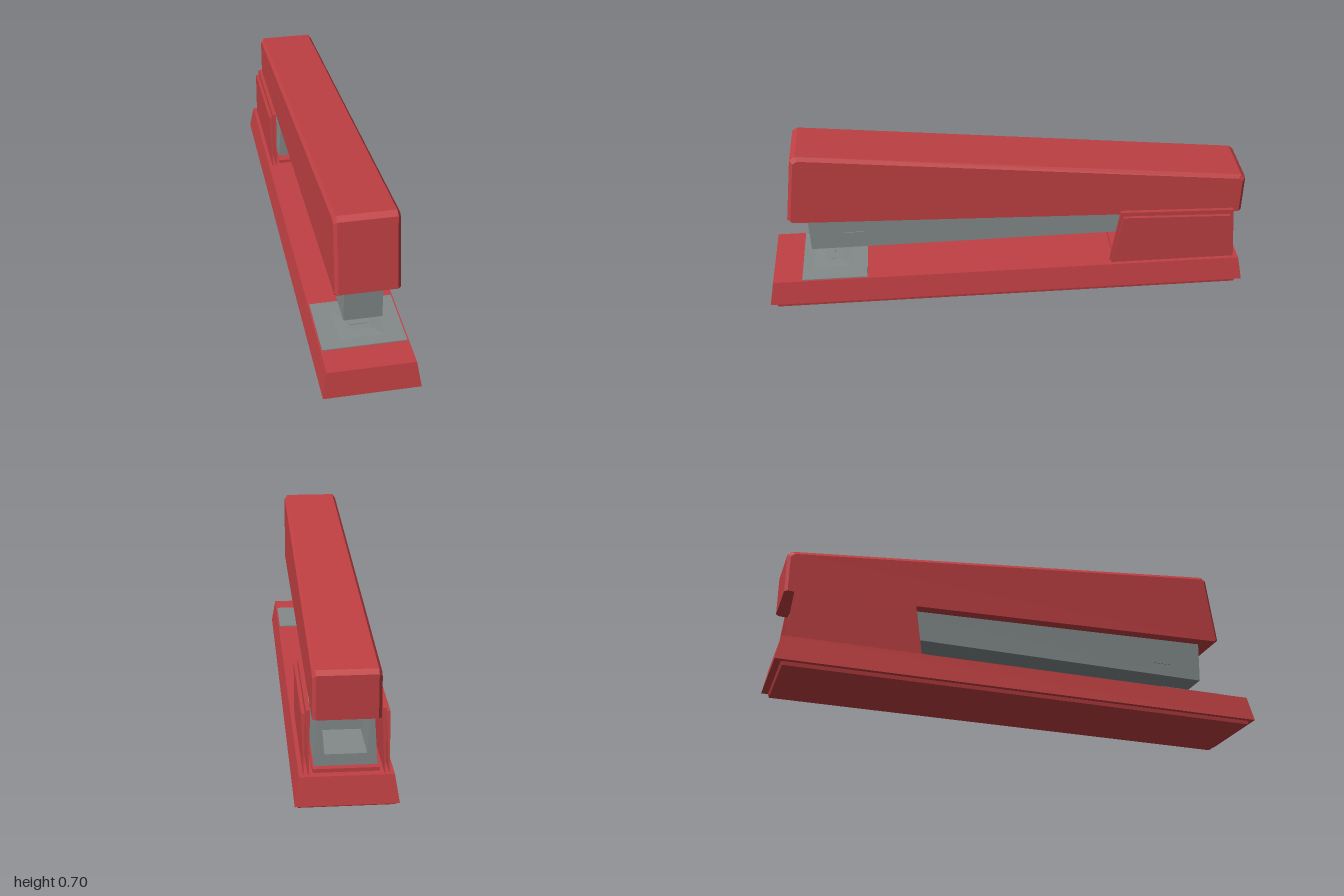
import * as THREE from 'three';

const red = new THREE.MeshStandardMaterial({ color: 0xc04043 });
red.name = 'red enamel';
const steel = new THREE.MeshStandardMaterial({ color: 0x848b8b });
steel.name = 'grey steel';

// Closed, flat-faced solid through convex rings of [x, y, z] points
function loft(rings) {
  const n = rings[0].length, tris = [];
  for (let r = 0; r < rings.length - 1; r++) {
    for (let i = 0; i < n; i++) {
      const j = (i + 1) % n;
      const [a, b, c, d] = [rings[r][i], rings[r][j], rings[r + 1][j], rings[r + 1][i]];
      tris.push([a, b, c], [a, c, d]);
    }
  }
  const first = rings[0], last = rings[rings.length - 1];
  for (let i = 1; i < n - 1; i++) {
    tris.push([first[0], first[i + 1], first[i]], [last[0], last[i], last[i + 1]]);
  }
  // Signed volume tells whether the faces point outward
  let volume = 0;
  for (const [a, b, c] of tris) {
    volume += a[0] * (b[1] * c[2] - b[2] * c[1]) - a[1] * (b[0] * c[2] - b[2] * c[0]) + a[2] * (b[0] * c[1] - b[1] * c[0]);
  }
  const pos = tris.flatMap((t) => (volume < 0 ? [t[0], t[2], t[1]] : t)).flat();
  const geo = new THREE.BufferGeometry();
  geo.setAttribute('position', new THREE.Float32BufferAttribute(pos, 3));
  geo.computeVertexNormals();
  return geo;
}

// Side profile of [z, y] points placed at x
const sideRing = (x, profile) => profile.map(([z, y]) => [x, y, z]);
// Horizontal rectangle at height y
const flatRing = (y, hx, z0, z1) => [[-hx, y, z0], [hx, y, z0], [hx, y, z1], [-hx, y, z1]];

export function createModel() {
  const model = new THREE.Group();
  model.name = 'stapler';
  const add = (name, geo, mat, parent = model) => {
    const mesh = new THREE.Mesh(geo, mat);
    mesh.name = name;
    parent.add(mesh);
    return mesh;
  };
  const box = (name, size, at, mat) => add(name, new THREE.BoxGeometry(...size), mat).position.set(...at);

  // Base and the foot pad below it
  add('base', loft([flatRing(0.019, 0.184, -1, 1), flatRing(0.123, 0.167, -0.98, 0.98)]), red);
  add('footPad', loft([flatRing(0, 0.173, -0.97, 0.97), flatRing(0.015, 0.175, -0.975, 0.975)]), red);

  // Anvil plate with a shallow raised centre and a staple groove
  box('anvilPlate', [0.322, 0.005, 0.27], [0, 0.1245, 0.725], steel);
  add('anvilRise', loft([flatRing(0.126, 0.1, 0.63, 0.83), flatRing(0.13, 0.045, 0.7, 0.77)]), steel);
  box('anvilGroove', [0.07, 0.003, 0.016], [0, 0.131, 0.735], steel);

  // Top cover: full profile in the middle, chamfered towards both sides
  const full = [[0.88, 0.391], [0.895, 0.402], [0.857, 0.688], [0.835, 0.702], [-0.962, 0.512],
    [-0.98, 0.497], [-0.98, 0.335], [-0.95, 0.333]];
  const inset = [[0.875, 0.391], [0.882, 0.4], [0.845, 0.674], [0.826, 0.686], [-0.95, 0.498],
    [-0.968, 0.485], [-0.968, 0.335], [-0.945, 0.333]];
  add('cover', loft([sideRing(-0.12, inset), sideRing(-0.108, full), sideRing(0.108, full), sideRing(0.12, inset)]), red);

  // Staple magazine with a small window plate on each side
  const magazine = [[0.815, 0.217], [0.82, 0.41], [-0.82, 0.36], [-0.82, 0.226]];
  add('magazine', loft([sideRing(-0.073, magazine), sideRing(0.073, magazine)]), steel);
  for (const s of [-1, 1]) {
    box('magazineWindow', [0.006, 0.025, 0.085], [s * 0.073, 0.283, 0.637], steel);
  }

  // Steel U bracket, pivot pin and the red floor slab underneath
  const u = new THREE.Shape([[-0.112, 0.139], [0.112, 0.139], [0.1, 0.34], [0.088, 0.34], [0.075, 0.183],
    [-0.075, 0.183], [-0.088, 0.34], [-0.1, 0.34]].map(([x, y]) => new THREE.Vector2(x, y)));
  const bracket = new THREE.ExtrudeGeometry(u, { depth: 0.44, bevelEnabled: false });
  add('hingeBracket', bracket.translate(0, 0, -0.93), steel);
  const pin = new THREE.CylinderGeometry(0.02, 0.02, 0.25, 10).rotateZ(Math.PI / 2);
  add('pivotPin', pin, steel).position.set(0, 0.308, -0.75);
  box('floorSlab', [0.236, 0.014, 0.5], [0, 0.13, -0.7], red);

  // Hinge cheeks: a tall inner and a lower outer slab, both tapering downwards
  const slab = (zs, ys, top, bottom) => loft([bottom, top].map(([x0, x1], k) => {
    const [zf, zb] = zs[k], [yf, yb] = ys[k];
    return [[x0, yf, zf], [x1, yf, zf], [x1, yb, zb], [x0, yb, zb]];
  }));
  for (const s of [-1, 1]) {
    const cheek = new THREE.Group();
    cheek.name = s > 0 ? 'leftCheek' : 'rightCheek';
    model.add(cheek);
    const side = (a, b) => [s * a, s * b];
    add('innerSlab', slab([[-0.43, -0.965], [-0.467, -0.94]], [[0.123, 0.123], [0.37, 0.356]],
      side(0.125, 0.14), side(0.132, 0.136)), red, cheek);
    add('outerSlab', slab([[-0.435, -0.96], [-0.477, -0.925]], [[0.123, 0.123], [0.353, 0.337]],
      side(0.142, 0.155), side(0.148, 0.152)), red, cheek);
  }
  return model;
}
